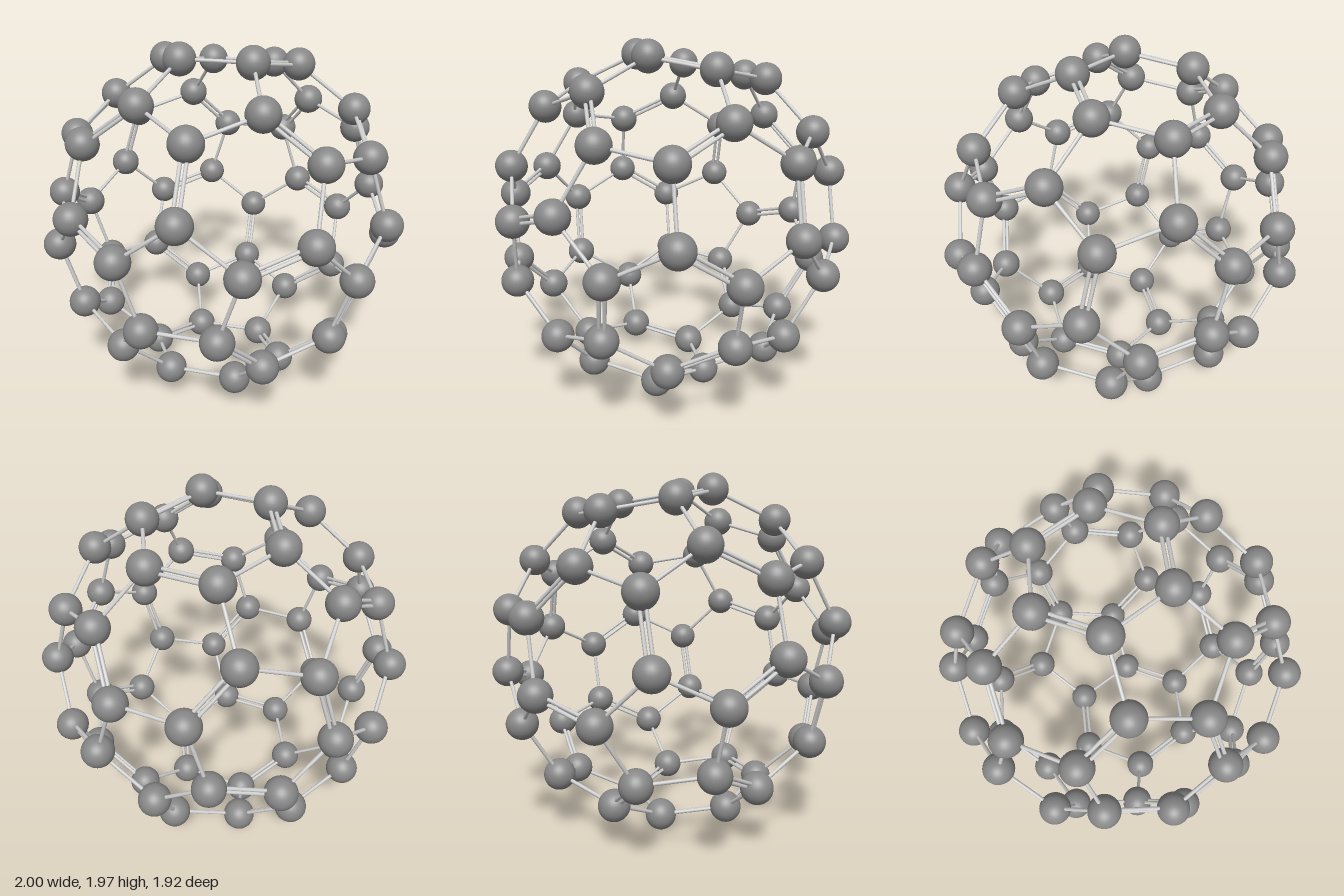
import * as THREE from 'three';

const EDGE = 1.13;          // edge of the guiding icosahedron
const CUT = 0.337;          // how far along each edge an atom sits
const ATOM_RADIUS = 0.086;
const CENTRE_Y = 0.985;

// Icosahedron corners with one five-fold axis along z
function icosahedronCorners() {
  const corners = [new THREE.Vector3(0, 0, 0.9511), new THREE.Vector3(0, 0, -0.9511)];
  for (let k = 0; k < 5; k++) {
    for (const s of [1, -1]) {
      const a = s * Math.PI / 2 + k * Math.PI * 2 / 5;
      corners.push(new THREE.Vector3(0.8507 * Math.cos(a), 0.8507 * Math.sin(a), s * 0.4253));
    }
  }
  return corners.map((c) => c.multiplyScalar(EDGE));
}

export function createModel() {
  const model = new THREE.Group();
  model.name = 'moleculeCage';
  const cage = new THREE.Group();
  cage.name = 'cage';
  cage.position.y = CENTRE_Y;
  model.add(cage);

  const atomMaterial = new THREE.MeshStandardMaterial({ color: 0x888888 });
  const bondMaterial = new THREE.MeshStandardMaterial({ color: 0xcccccc });
  const atomGeometry = new THREE.SphereGeometry(ATOM_RADIUS, 32, 20);
  const rodGeometry = new THREE.CylinderGeometry(1, 1, 1, 12, 1, true);
  const up = new THREE.Vector3(0, 1, 0);

  // Thin rod joining two points
  function addRod(name, a, b, radius, offset = new THREE.Vector3()) {
    const dir = b.clone().sub(a);
    const rod = new THREE.Mesh(rodGeometry, bondMaterial);
    rod.name = name;
    rod.scale.set(radius, dir.length(), radius);
    rod.position.copy(a).add(b).multiplyScalar(0.5).add(offset);
    rod.quaternion.setFromUnitVectors(up, dir.normalize());
    cage.add(rod);
  }

  const corners = icosahedronCorners();
  const adjacent = (i, j) => i !== j && corners[i].distanceTo(corners[j]) < EDGE * 1.1;
  const atomAt = (i, j) => corners[i].clone().lerp(corners[j], CUT);

  for (let i = 0; i < 12; i++) {
    for (let j = 0; j < 12; j++) {
      if (!adjacent(i, j)) continue;
      const here = atomAt(i, j);

      // Atom
      const atom = new THREE.Mesh(atomGeometry, atomMaterial);
      atom.name = 'atom';
      atom.position.copy(here);
      cage.add(atom);

      // Single bonds around each pentagon
      for (let k = j + 1; k < 12; k++) {
        if (adjacent(i, k) && adjacent(j, k)) addRod('singleBond', here, atomAt(i, k), 0.01);
      }

      // Double bonds between pentagons, side by side along the cage surface
      if (i < j) {
        const there = atomAt(j, i);
        const side = there.clone().sub(here).cross(here).setLength(0.015);
        addRod('doubleBond', here, there, 0.01, side);
        addRod('doubleBond', here, there, 0.01, side.clone().negate());
      }
    }
  }
  return model;
}
